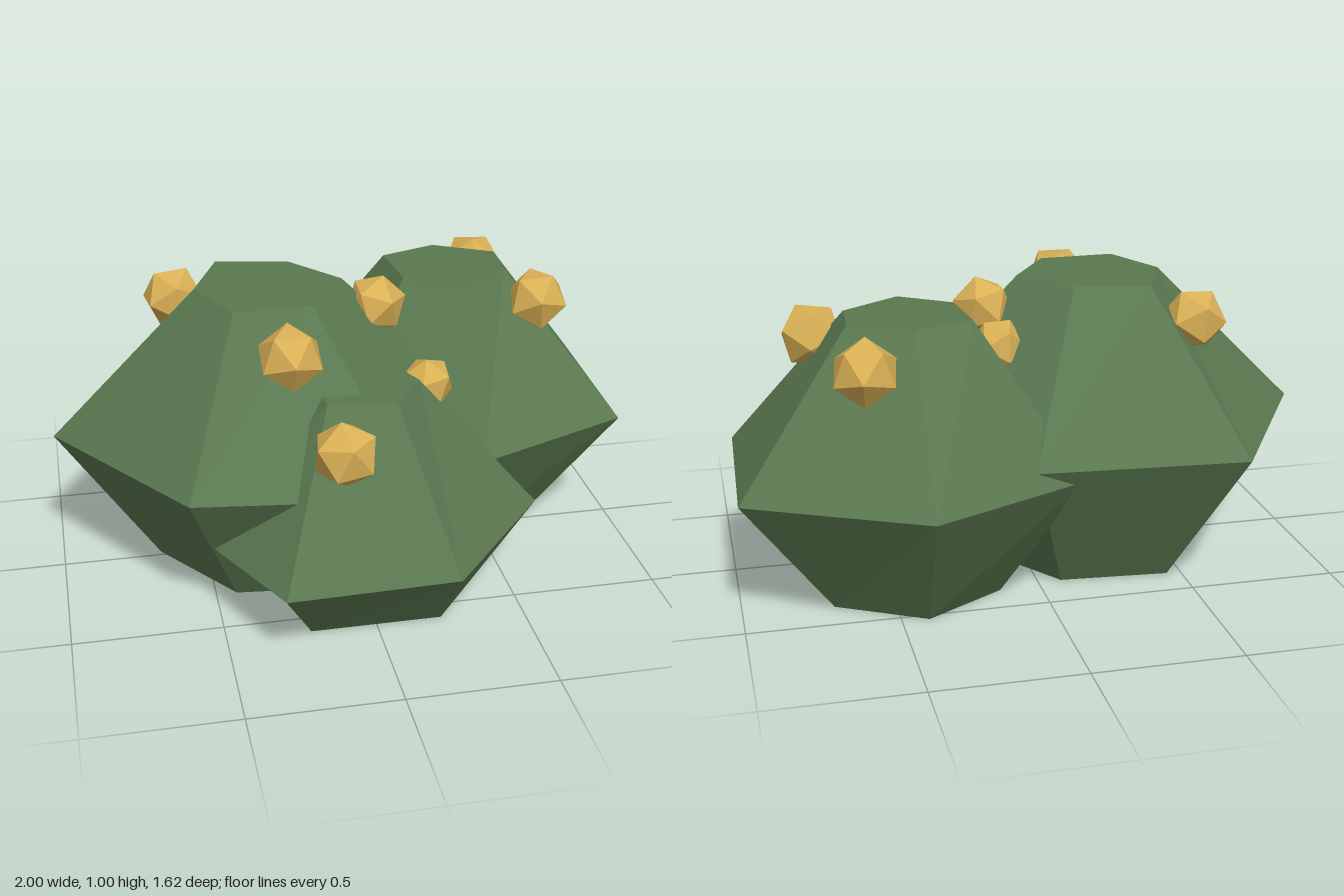
import * as THREE from 'three';

const leaf = new THREE.MeshStandardMaterial({ color: 0x5a7850, flatShading: true });
leaf.name = 'leaf green';
const gold = new THREE.MeshStandardMaterial({ color: 0xd9b055, flatShading: true });
gold.name = 'berry gold';

// Faceted lump: bottom, middle and top hexagons of [x, z] joined at the given heights
function lump(name, heights, rings) {
  const p = rings.map((ring, k) => ring.map(([x, z]) => [x, heights[k], z]));
  const pos = [];
  const tri = (a, b, c) => pos.push(...a, ...b, ...c);
  const n = p[0].length;
  for (let k = 0; k < p.length - 1; k++) {
    for (let i = 0; i < n; i++) {
      const j = (i + 1) % n, lo = p[k], up = p[k + 1];
      tri(lo[j], lo[i], up[i]);
      tri(lo[j], up[i], up[j]);
    }
  }
  // Flat caps
  const bottom = p[0], top = p[p.length - 1];
  for (let i = 1; i < n - 1; i++) {
    tri(bottom[0], bottom[i], bottom[i + 1]);
    tri(top[0], top[i + 1], top[i]);
  }
  const geo = new THREE.BufferGeometry();
  geo.setAttribute('position', new THREE.Float32BufferAttribute(pos, 3));
  geo.computeVertexNormals();
  const mesh = new THREE.Mesh(geo, leaf);
  mesh.name = name;
  return mesh;
}

export function createModel() {
  const bush = new THREE.Group();
  bush.name = 'berryBush';

  // Three overlapping lumps of foliage
  bush.add(lump('tallFoliage', [0, 0.5, 1], [
    [[-0.66, -0.02], [-0.45, -0.37], [-0.08, -0.34], [0.15, -0.02], [-0.06, 0.34], [-0.43, 0.3]],
    [[-1, -0.02], [-0.63, -0.65], [0.07, -0.6], [0.5, -0.02], [0.12, 0.655], [-0.6, 0.56]],
    [[-0.5, -0.02], [-0.4, -0.26], [-0.15, -0.21], [0, -0.02], [-0.14, 0.2], [-0.4, 0.21]],
  ]));
  bush.add(lump('sideFoliage', [0, 0.445, 0.945], [
    [[0.14, -0.07], [0.14, -0.37], [0.41, -0.53], [0.7, -0.37], [0.7, -0.04], [0.41, 0.1]],
    [[-0.1, 0.1], [-0.1, -0.56], [0.43, -0.81], [1, -0.53], [0.98, 0.12], [0.42, 0.35]],
    [[0.24, -0.12], [0.22, -0.35], [0.42, -0.42], [0.62, -0.31], [0.61, -0.14], [0.41, 0]],
  ]));
  bush.add(lump('frontFoliage', [0, 0.27, 0.765], [
    [[-0.28, 0.33], [-0.13, 0.1], [0.18, 0.09], [0.31, 0.33], [0.22, 0.58], [-0.22, 0.58]],
    [[-0.56, 0.35], [-0.26, -0.16], [0.32, -0.17], [0.61, 0.34], [0.23, 0.79], [-0.335, 0.805]],
    [[-0.15, 0.33], [-0.05, 0.19], [0.13, 0.19], [0.19, 0.33], [0.08, 0.5], [-0.14, 0.46]],
  ]));

  // Berries: x, y, z, radius
  const berryGeo = new THREE.IcosahedronGeometry(1, 0);
  [
    [-0.24, 0.895, 0.36, 0.112],
    [-0.11, 0.66, 0.6, 0.112],
    [-0.55, 0.88, -0.27, 0.11],
    [0.12, 0.9, -0.02, 0.105],
    [0.1, 0.8, -0.165, 0.095],
    [0.26, 0.68, 0.175, 0.092],
    [0.59, 0.84, -0.495, 0.112],
    [0.71, 0.85, -0.07, 0.112],
  ].forEach(([x, y, z, r], i) => {
    const berry = new THREE.Mesh(berryGeo, gold);
    berry.name = 'berry' + (i + 1);
    berry.position.set(x, y, z);
    berry.rotation.set(0.5 + i * 0.7, i * 1.1, i * 0.4);
    berry.scale.setScalar(r);
    bush.add(berry);
  });
  return bush;
}
